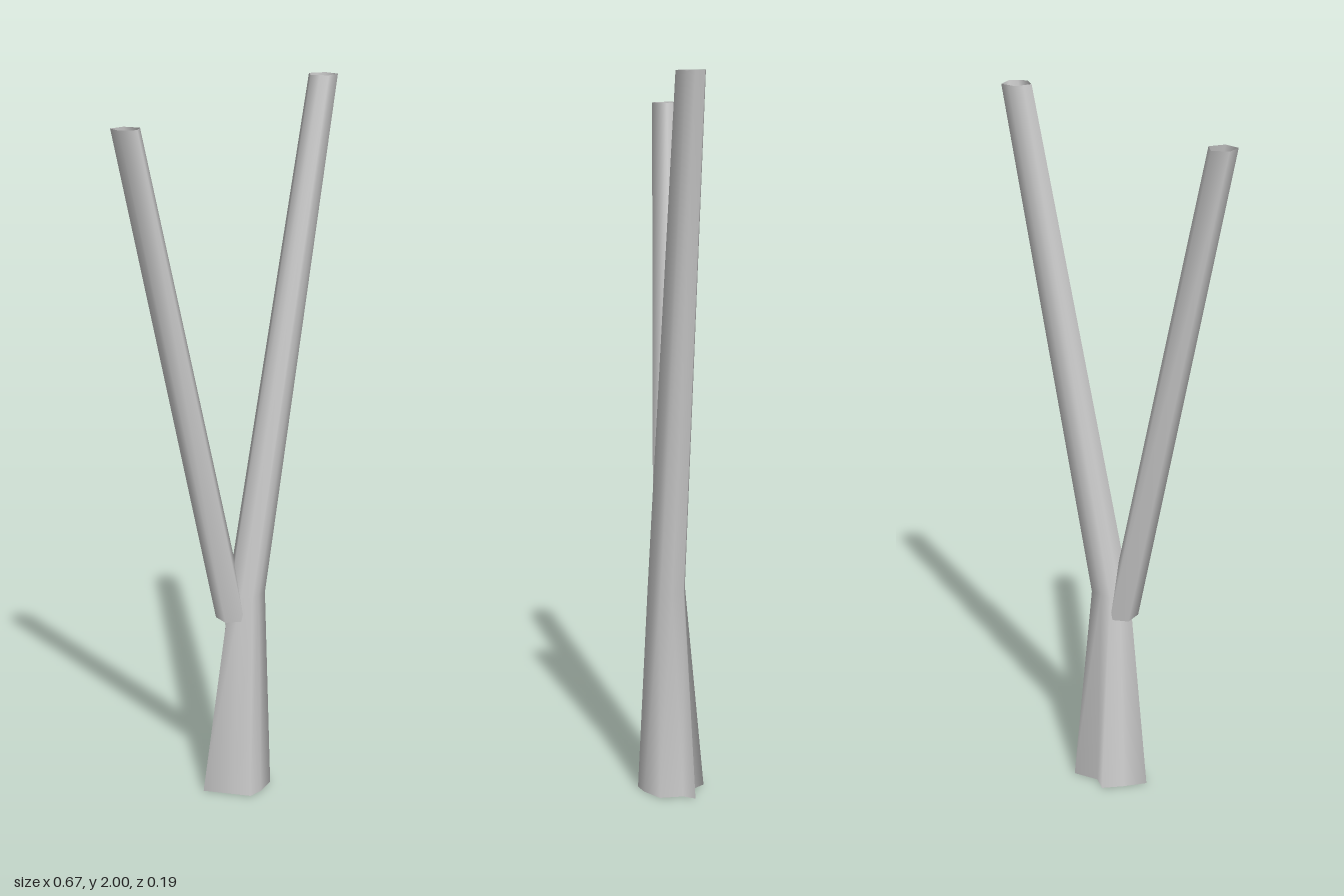
import * as THREE from 'three';

const material = new THREE.MeshStandardMaterial({ color: 0xcccccc, side: THREE.DoubleSide });

// Horizontal pentagon ring; 'split' also adds the middle of every edge
function pentagon(x, y, z, radius, startDegrees, split = false) {
  const corners = [];
  for (let i = 0; i < 5; i++) {
    const a = THREE.MathUtils.degToRad(startDegrees + i * 72);
    corners.push(new THREE.Vector3(x + radius * Math.cos(a), y, z + radius * Math.sin(a)));
  }
  if (!split) return corners;
  return corners.flatMap((c, i) => [c, c.clone().lerp(corners[(i + 1) % 5], 0.5)]);
}

// Open, smooth-shaded skin through a stack of rings
function loft(name, rings) {
  const n = rings[0].length;
  const index = [];
  for (let r = 0; r < rings.length - 1; r++) {
    for (let i = 0; i < n; i++) {
      const a = r * n + i, b = r * n + (i + 1) % n;
      index.push(a, a + n, b, b, a + n, b + n);
    }
  }
  const geometry = new THREE.BufferGeometry().setFromPoints(rings.flat());
  geometry.setIndex(index);
  geometry.computeVertexNormals();
  const mesh = new THREE.Mesh(geometry, material);
  mesh.name = name;
  return mesh;
}

export function createModel() {
  const group = new THREE.Group();
  group.name = 'forkedTree';

  // Root flare: five uneven buttresses with hollows between them (x, z)
  const roots = [
    [-0.085, -0.015], [-0.03, -0.055], [0.025, -0.086], [0.055, -0.045], [0.13, -0.034],
    [0.105, -0.005], [0.1, 0.06], [0.04, 0.09], [-0.005, 0.097], [-0.035, 0.055],
  ].map(([x, z]) => new THREE.Vector3(x, 0, z));

  // Trunk running on into the taller, left-leaning limb
  group.add(loft('trunkAndTallLimb', [
    roots,
    pentagon(0.037, 0.58, 0.021, 0.056, 180, true),
    pentagon(0.302, 2, 0.026, 0.042, 180, true),
  ]));

  // Shorter limb growing out of the trunk side
  group.add(loft('shortLimb', [
    pentagon(0.0, 0.51, 0.01, 0.046, 10),
    pentagon(-0.298, 1.895, -0.06, 0.041, 10),
  ]));

  return group;
}
